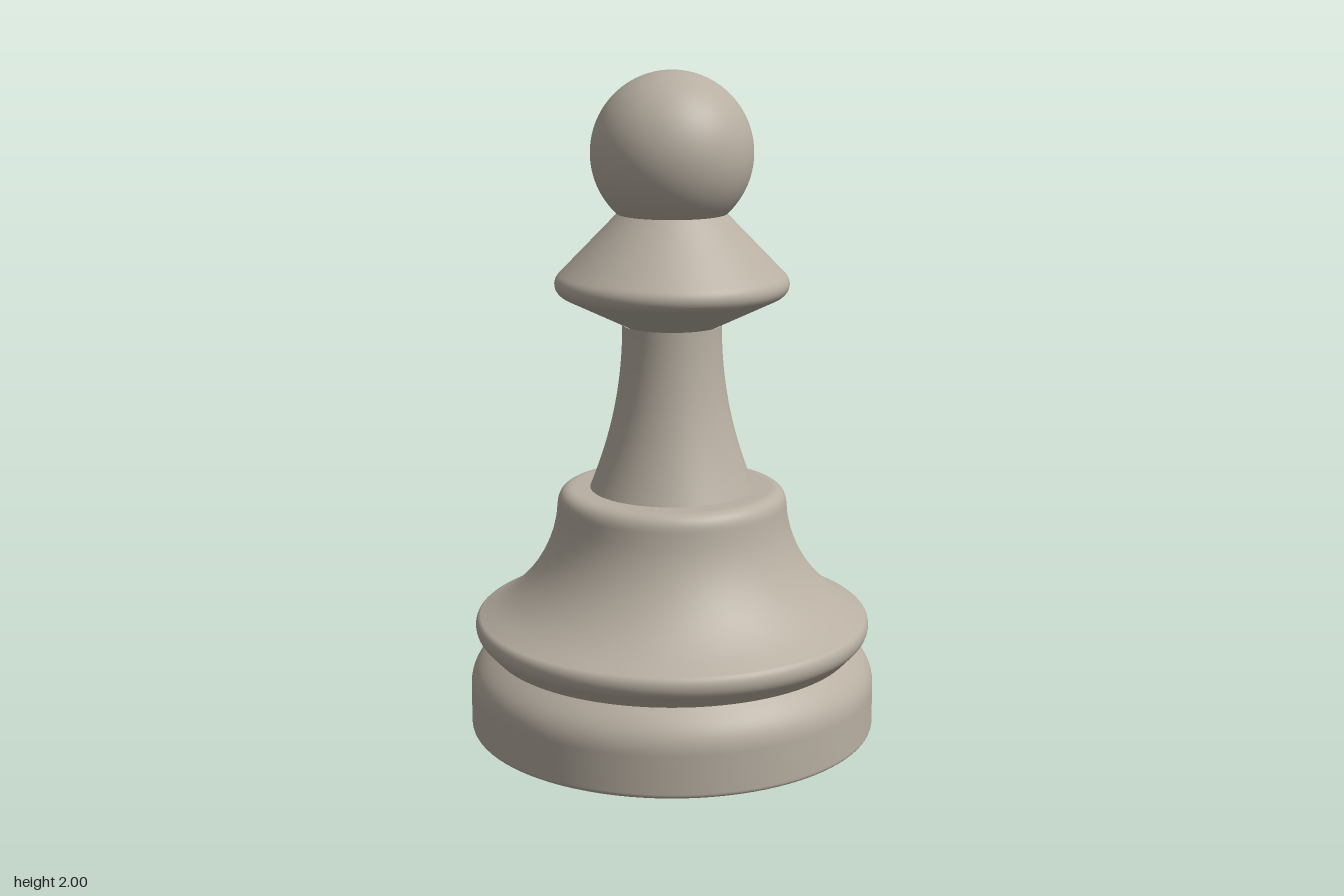
import * as THREE from 'three';

const SEGMENTS = 96;

export function createModel() {
  const group = new THREE.Group();
  group.name = 'pawn';
  const stone = new THREE.MeshStandardMaterial({ color: 0xb8afa2 });
  stone.name = 'warm grey';

  // Turn a profile path, drawn from bottom to top, around the y axis
  const turn = (name, path, divisions = 10) => {
    const mesh = new THREE.Mesh(new THREE.LatheGeometry(path.getPoints(divisions), SEGMENTS), stone);
    mesh.name = name;
    group.add(mesh);
  };
  const start = (r, y) => new THREE.Path().moveTo(r, y);

  // Flat underside
  const underside = new THREE.Mesh(new THREE.CircleGeometry(0.607, SEGMENTS), stone);
  underside.name = 'underside';
  underside.rotation.x = Math.PI / 2;
  group.add(underside);

  // Base disc with a small lower bevel and a rounded shoulder
  turn('baseDisc', start(0.607, 0)
    .quadraticCurveTo(0.622, 0, 0.622, 0.015)
    .lineTo(0.622, 0.13)
    .bezierCurveTo(0.622, 0.185, 0.595, 0.215, 0.555, 0.25));

  // Foot: rounded rim, concave flare and rounded top edge
  turn('foot', start(0.555, 0.25)
    .lineTo(0.592, 0.29)
    .bezierCurveTo(0.609, 0.31, 0.609, 0.343, 0.59, 0.354)
    .bezierCurveTo(0.45, 0.415, 0.355, 0.56, 0.349, 0.7)
    .quadraticCurveTo(0.345, 0.75, 0.3, 0.75)
    .lineTo(0.2, 0.75));

  // Tapering stem
  turn('stem', start(0.249, 0.75)
    .bezierCurveTo(0.185, 0.91, 0.15, 1.06, 0.149, 1.25), 24);

  // Collar with a rounded edge
  turn('collar', start(0.14, 1.247)
    .lineTo(0.15, 1.252)
    .lineTo(0.325, 1.337)
    .bezierCurveTo(0.355, 1.352, 0.358, 1.385, 0.335, 1.405)
    .lineTo(0.15, 1.595));

  // Ball head
  const head = new THREE.Mesh(new THREE.SphereGeometry(0.241, SEGMENTS, 48), stone);
  head.name = 'head';
  head.position.y = 1.759;
  group.add(head);

  return group;
}
